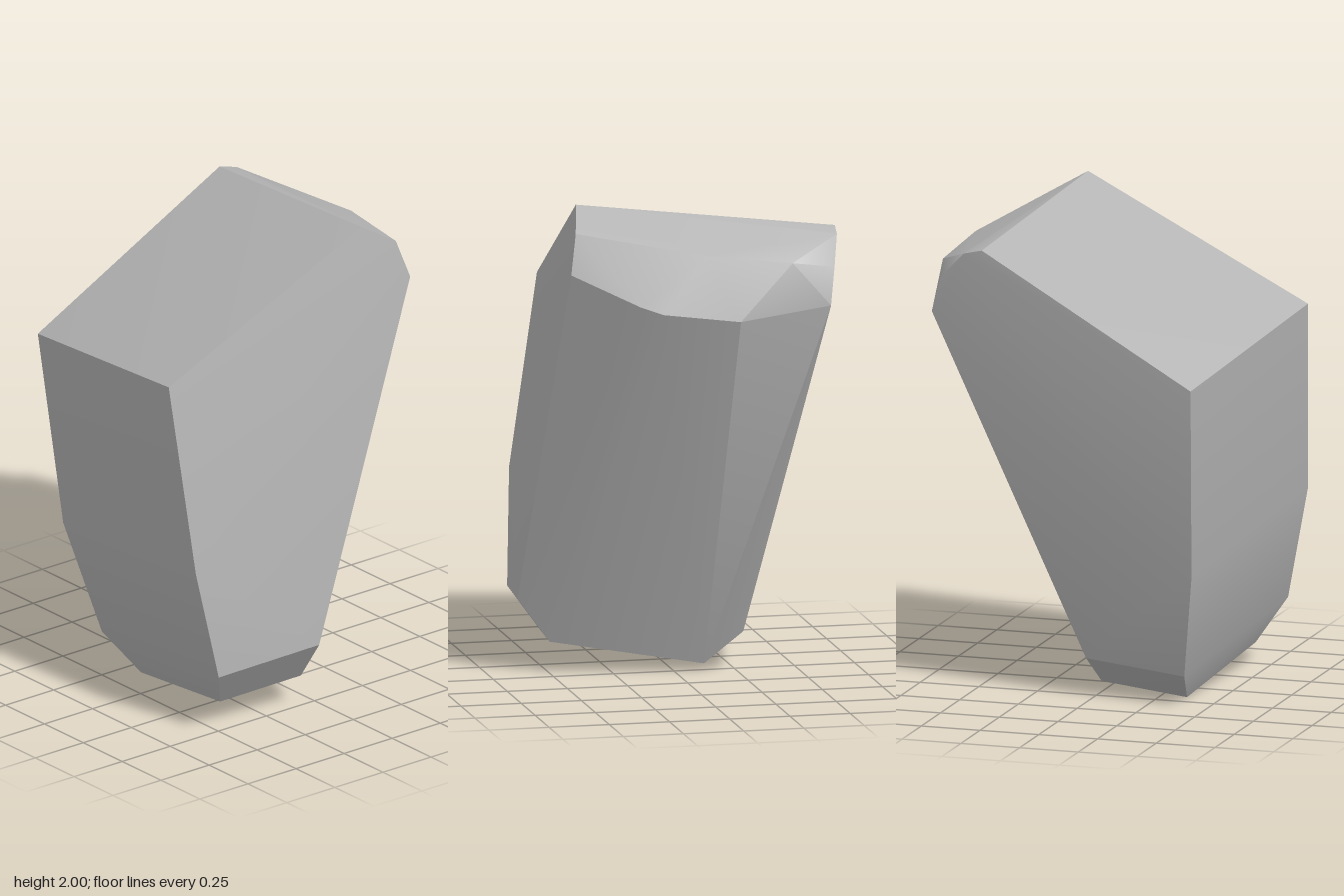
import * as THREE from 'three';
import { ConvexGeometry } from 'three/addons/geometries/ConvexGeometry.js';
import { toCreasedNormals } from 'three/addons/utils/BufferGeometryUtils.js';

// Corners of the solid, grouped by where they lie
const corners = {
  topFront: [[0.41, 1.53, 0.685], [-0.63, 1.38, 0.525]],
  topBack: [[0.47, 2, -0.27], [-0.58, 1.89, -0.38]],
  frontCurve: [[0.535, 0.74, 0.645], [-0.51, 0.58, 0.49], [0.565, 0.27, 0.55], [-0.36, 0.13, 0.41]],
  base: [[0.45, 0.1, 0.45], [-0.17, 0, 0.36], [-0.12, 0.03, -0.02], [0.5, 0.13, 0.07]],
  backFoot: [[0.63, 0.31, 0.08], [-0.28, 0.158, -0.034]],
  // Rounded shoulder below the top edge, from left to right
  shoulder: [[0.505, 1.91, -0.42], [0, 1.83, -0.595], [-0.35, 1.79, -0.62],
    [-0.535, 1.757, -0.57], [-0.57, 1.87, -0.46]],
  // Curved rim where the shoulder meets the back
  backRim: [[0.535, 1.75, -0.47], [0.28, 1.635, -0.615], [0.19, 1.605, -0.645],
    [-0.12, 1.57, -0.685], [-0.51, 1.607, -0.615]],
};

export function createModel() {
  const group = new THREE.Group();
  group.name = 'facetedBlock';

  const grey = new THREE.MeshStandardMaterial({ color: 0xb4b4b4 });
  grey.name = 'stone grey';

  // Convex block: gentle bends stay smooth, hard edges stay sharp
  const points = Object.values(corners).flat().map((p) => new THREE.Vector3(...p));
  const geometry = toCreasedNormals(new ConvexGeometry(points), Math.PI / 6);
  const block = new THREE.Mesh(geometry, grey);
  block.name = 'block';
  group.add(block);

  return group;
}
